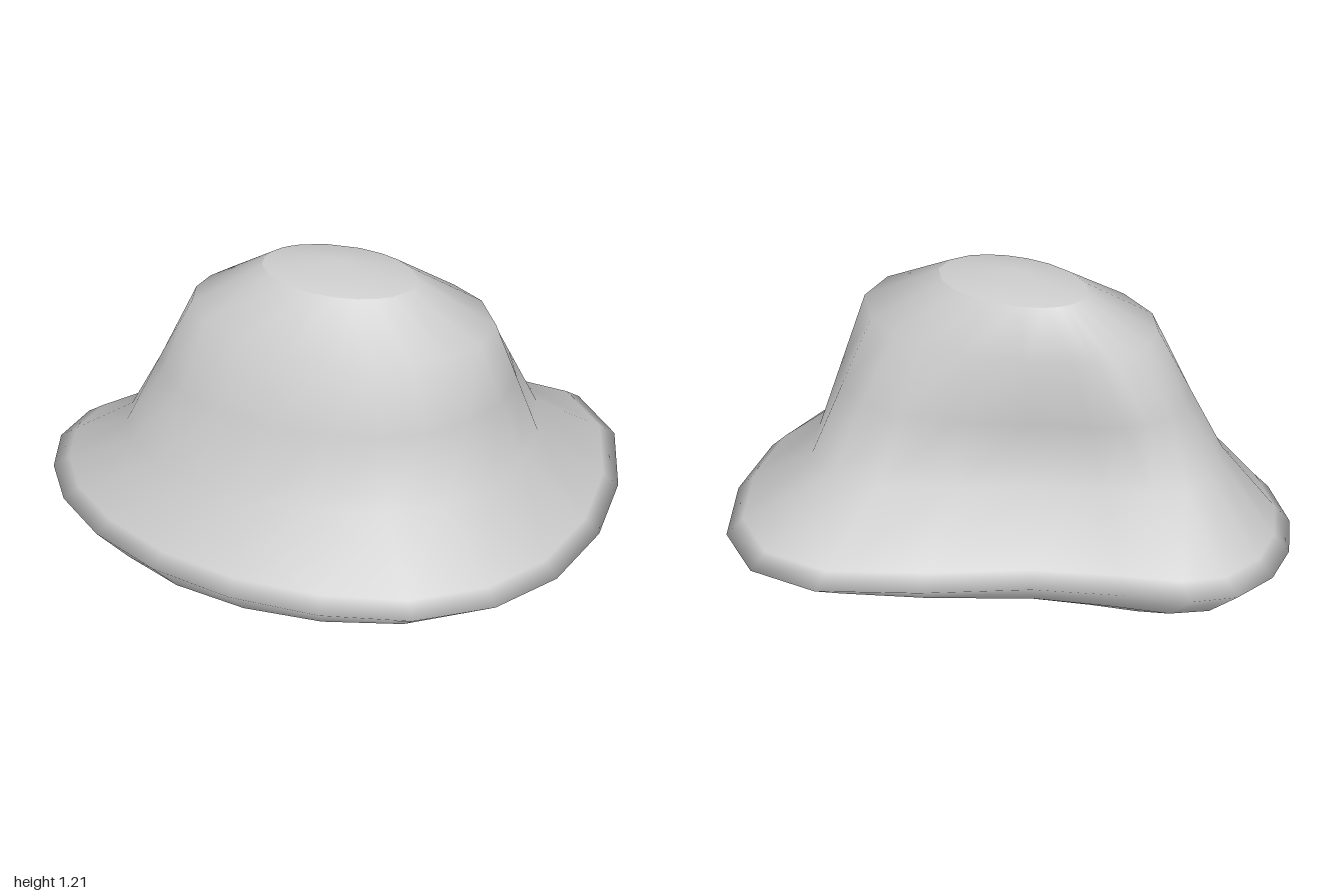
import * as THREE from 'three';

// Rim outline as x, z pairs, running left, back, right, front
const RIM = [
  [-1, -0.3], [-0.96, -0.48], [-0.85, -0.62], [-0.69, -0.665], [-0.45, -0.645],
  [-0.12, -0.635], [0.28, -0.695], [0.65, -0.715], [0.89, -0.6], [1, -0.37],
  [0.99, -0.06], [0.9, 0.23], [0.73, 0.49], [0.5, 0.65], [0.2, 0.715],
  [-0.13, 0.66], [-0.44, 0.53], [-0.7, 0.34], [-0.88, 0.12], [-0.98, -0.1],
];
const N = RIM.length;

// Ring that follows the rim shape; the height leans along x
const rimRing = (sx, sz, y, lean, cx = 0) =>
  RIM.map(([x, z]) => new THREE.Vector3(x * sx + cx, y + lean * x * sx, z * sz));

// Sheared elliptical ring with corners matched to the rim corners
const ovalRing = (rx, rz, cx, cz, y, lean, shear) =>
  RIM.map(([x, z]) => {
    const a = Math.atan2((z + 0.1) / 0.65, x);
    const px = rx * Math.cos(a);
    return new THREE.Vector3(cx + px, y + lean * px, cz + rz * Math.sin(a) + shear * px);
  });

const blend = (a, b, t) => a.map((p, i) => p.clone().lerp(b[i], t));

function makeGeometry(points, index) {
  const g = new THREE.BufferGeometry().setFromPoints(points);
  g.setIndex(index);
  g.computeVertexNormals();
  return g;
}

// Smooth skin through closed rings listed from bottom to top
function loft(rings) {
  const index = [];
  for (let k = 0; k < rings.length - 1; k++) {
    for (let i = 0; i < N; i++) {
      const j = (i + 1) % N;
      const a = k * N + i, b = k * N + j, c = a + N, d = b + N;
      index.push(a, c, b, b, c, d);
    }
  }
  return makeGeometry(rings.flat(), index);
}

// Fan from a ring to a centre point
function cap(ring, centre, up) {
  const index = [];
  for (let i = 0; i < N; i++) {
    const j = (i + 1) % N;
    index.push(...(up ? [i, N, j] : [j, N, i]));
  }
  return makeGeometry([...ring, centre], index);
}

export function createModel() {
  const group = new THREE.Group();
  const material = new THREE.MeshStandardMaterial({ color: 0xcccccc, roughness: 0.8 });
  const add = (name, geometry) => {
    const mesh = new THREE.Mesh(geometry, material);
    mesh.name = name;
    group.add(mesh);
  };

  const base = ovalRing(0.28, 0.25, 0, 0, 0, 0, 0);
  const waist = rimRing(0.73, 0.6, 0.47, -0.014, -0.02);
  const shoulder = ovalRing(0.535, 0.315, 0.015, -0.075, 0.995, -0.03, 0.15);
  const crown = ovalRing(0.275, 0.162, 0.005, -0.1, 1.152, -0.025, 0.2);

  add('body', loft([
    base,
    rimRing(0.69, 0.69, 0.042, 0.04),
    rimRing(0.87, 0.87, 0.115, 0.029),
    rimRing(1, 1, 0.2, -0.01),
    rimRing(0.945, 0.93, 0.255, -0.01),
    waist,
    blend(waist, shoulder, 0.5),
    shoulder,
    crown,
  ]));
  add('topCap', cap(crown, new THREE.Vector3(0, 1.205, -0.1), true));
  add('bottomCap', cap(base, new THREE.Vector3(0, 0, 0), false));

  return group;
}
